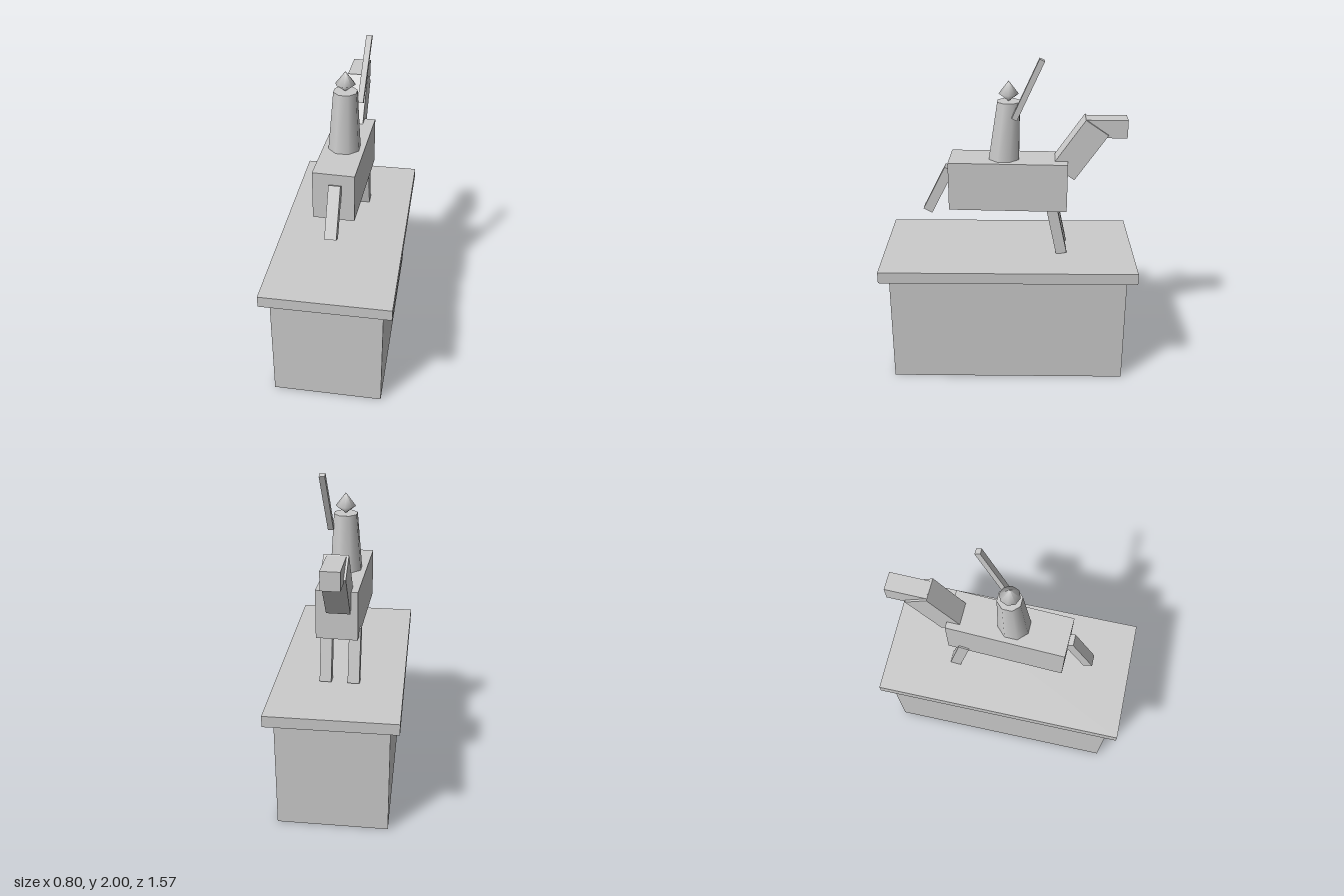
import * as THREE from 'three';

export function createModel() {
  const model = new THREE.Group();
  model.name = 'equestrianStatue';
  const stone = new THREE.MeshStandardMaterial({ color: 0xcccccc, side: THREE.DoubleSide });
  stone.name = 'pale grey stone';

  const add = (name, geometry, x, y, z, parent = model) => {
    const mesh = new THREE.Mesh(geometry, stone);
    mesh.name = name;
    mesh.position.set(x, y, z);
    parent.add(mesh);
    return mesh;
  };
  const box = (name, w, h, d, x, y, z, tilt = 0, parent = model) => {
    const mesh = add(name, new THREE.BoxGeometry(w, h, d), x, y, z, parent);
    mesh.rotation.x = tilt;
    return mesh;
  };
  // Remove the underside of a box, leaving a hollow shell
  const openBelow = (mesh) => {
    const index = Array.from(mesh.geometry.index.array);
    index.splice(18, 6);
    mesh.geometry.setIndex(index);
    mesh.geometry.clearGroups();
  };

  // Hollow pedestal and its overhanging slab, turned slightly
  const pedestal = new THREE.Group();
  pedestal.name = 'pedestal';
  pedestal.rotation.y = 0.019;
  model.add(pedestal);
  openBelow(box('pedestalBlock', 0.665, 0.7, 1.445, 0, 0.35, 0, 0, pedestal));
  openBelow(box('pedestalSlab', 0.775, 0.07, 1.56, 0, 0.735, 0, 0, pedestal));

  // Horse, facing -z
  box('horseBody', 0.248, 0.302, 0.72, 0, 1.215, 0).rotation.y = -0.019;
  box('horseNeck', 0.14, 0.344, 0.166, -0.008, 1.435, -0.43, -0.6);
  box('horseHead', 0.11, 0.11, 0.245, -0.01, 1.565, -0.587);
  box('horseTail', 0.07, 0.31, 0.06, 0.005, 1.16, 0.433, -0.47);
  for (const x of [-0.093, 0.076])
    box('frontLeg', 0.07, 0.34, 0.066, x, 0.938, -0.297, 0.215);

  // Rider's robe: tapered and leaning towards the horse's head
  const robe = new THREE.CylinderGeometry(0.07, 0.097, 0.38, 8);
  robe.rotateY(Math.PI / 8);
  robe.scale(1.04, 1, 1.04);
  const p = robe.attributes.position;
  for (let i = 0; i < p.count; i++) p.setZ(i, p.getZ(i) + 0.015 - p.getY(i) * 0.08);
  add('riderRobe', robe, 0, 1.53, 0);

  // Rider's head: a pointed double cone
  const headProfile = [[0, 1.72], [0.06, 1.765], [0, 1.843]].map(([r, y]) => new THREE.Vector2(r, y));
  add('riderHead', new THREE.LatheGeometry(headProfile, 8), 0, 0, 0);

  // Raised sword
  const hilt = new THREE.Vector3(0.084, 1.635, -0.036);
  const tip = new THREE.Vector3(0.108, 1.992, -0.194);
  const along = tip.clone().sub(hilt);
  const middle = hilt.clone().add(tip).multiplyScalar(0.5);
  const sword = box('sword', 0.034, along.length(), 0.034, middle.x, middle.y, middle.z);
  sword.quaternion.setFromUnitVectors(new THREE.Vector3(0, 1, 0), along.normalize());

  return model;
}
